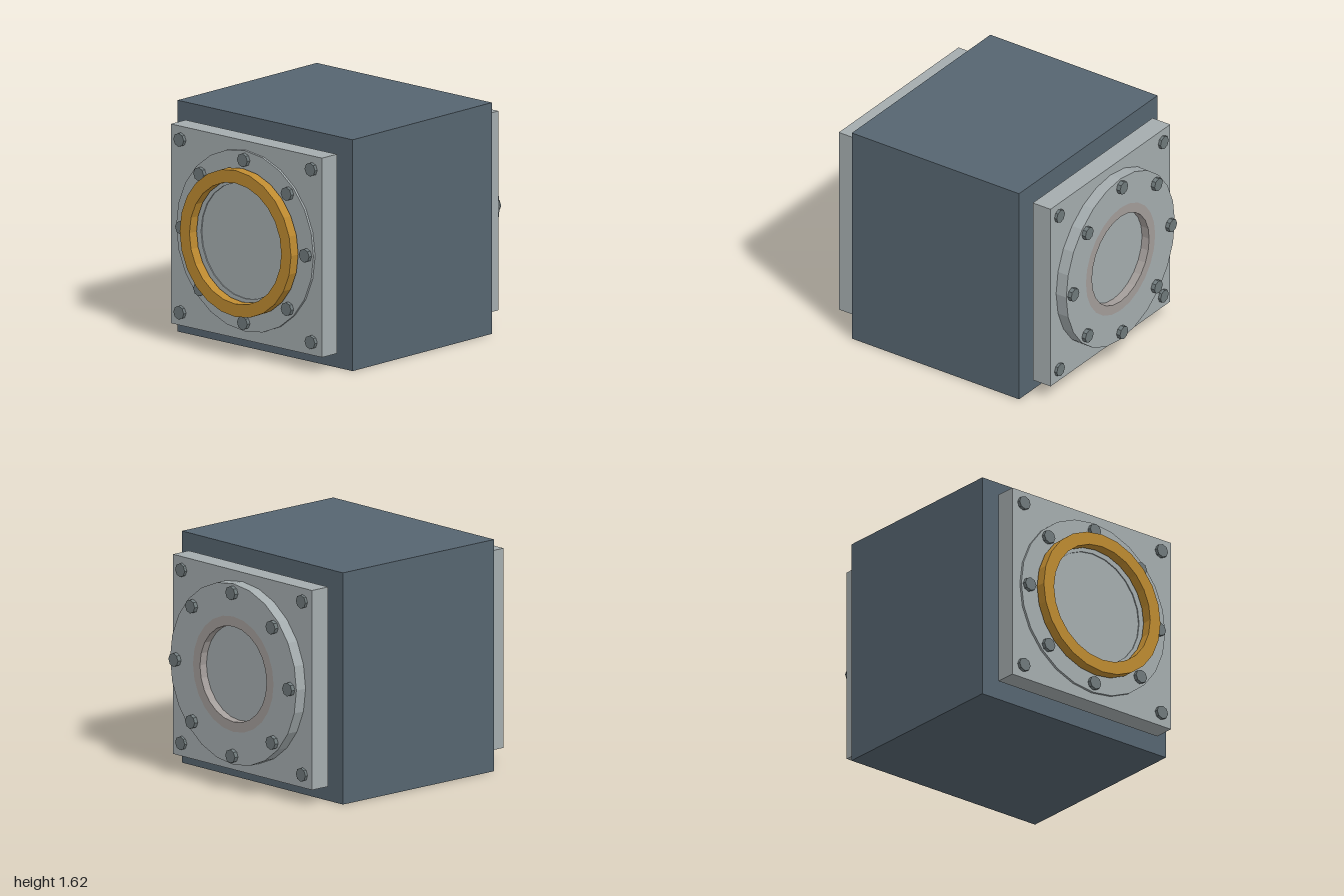
import * as THREE from 'three';

const mat = (color) => new THREE.MeshStandardMaterial({ color, flatShading: true });
const bodyMat = mat(0x566570);
const steelMat = mat(0xa4acae);
const boltMat = mat(0x6f797b);
const goldMat = mat(0xbd8a30);
const lipMat = mat(0xa39d9a);

const MID = 0.8125; // height of the port axis

function add(parent, name, geometry, material, x = 0, y = 0, z = 0) {
  const mesh = new THREE.Mesh(geometry, material);
  mesh.name = name;
  mesh.position.set(x, y, z);
  parent.add(mesh);
  return mesh;
}

// Flat-faced ring around the z axis
function ring(inner, outer, z0, z1) {
  const profile = [[outer, z0], [outer, z1], [inner, z1], [inner, z0], [outer, z0]]
    .map(([r, z]) => new THREE.Vector2(r, z));
  return new THREE.LatheGeometry(profile, 24).rotateX(Math.PI / 2);
}

// Cylinder along the z axis
function rod(radius, z0, z1, sides) {
  return new THREE.CylinderGeometry(radius, radius, z1 - z0, sides)
    .rotateX(Math.PI / 2)
    .translate(0, 0, (z0 + z1) / 2);
}

function makePort(name) {
  const port = new THREE.Group();
  port.name = name;

  // Square plate with a round flange passing through it
  add(port, 'mountingPlate', squarePlate(), steelMat, 0, 0, 0.74);
  add(port, 'flange', ring(0.405, 0.635, 0.655, 0.905), steelMat);

  // Window disc held by a narrower lip at the rear
  add(port, 'windowDisc', rod(0.405, 0.715, 0.897, 24), steelMat);
  add(port, 'rearLip', ring(0.335, 0.405, 0.655, 0.715), lipMat);

  // Raised trim ring
  add(port, 'trimRing', ring(0.425, 0.515, 0.927, 1.0), goldMat);

  // Eight through bolts around the flange
  const flangeBolt = rod(0.048, 0.625, 0.932, 8);
  for (let i = 0; i < 8; i++) {
    const a = (i * Math.PI) / 4;
    add(port, 'flangeBolt', flangeBolt, boltMat, 0.572 * Math.cos(a), 0.572 * Math.sin(a));
  }

  // One bolt in each plate corner
  const cornerBolt = rod(0.048, 0.72, 0.912, 8);
  for (const x of [-0.607, 0.607]) {
    for (const y of [-0.607, 0.607]) add(port, 'cornerBolt', cornerBolt, boltMat, x, y);
  }

  port.position.y = MID;
  return port;
}

// Plate with a round opening for the flange
function squarePlate() {
  const h = 0.7;
  const shape = new THREE.Shape([[-h, -h], [h, -h], [h, h], [-h, h]].map(([x, y]) => new THREE.Vector2(x, y)));
  const hole = [];
  for (let i = 0; i < 24; i++) {
    const a = (-i * Math.PI) / 12;
    hole.push(new THREE.Vector2(0.635 * Math.cos(a), 0.635 * Math.sin(a)));
  }
  shape.holes.push(new THREE.Path(hole));
  return new THREE.ExtrudeGeometry(shape, { depth: 0.148, bevelEnabled: false });
}

export function createModel() {
  const model = new THREE.Group();
  model.name = 'portHousing';

  // Solid housing block
  add(model, 'housing', new THREE.BoxGeometry(1.62, 2 * MID, 1.4), bodyMat, 0, MID, 0);

  // Both ports face forward; the rear one shows its back side
  model.add(makePort('frontPort'));
  const rear = makePort('rearPort');
  rear.position.z = -1.625;
  model.add(rear);

  return model;
}
